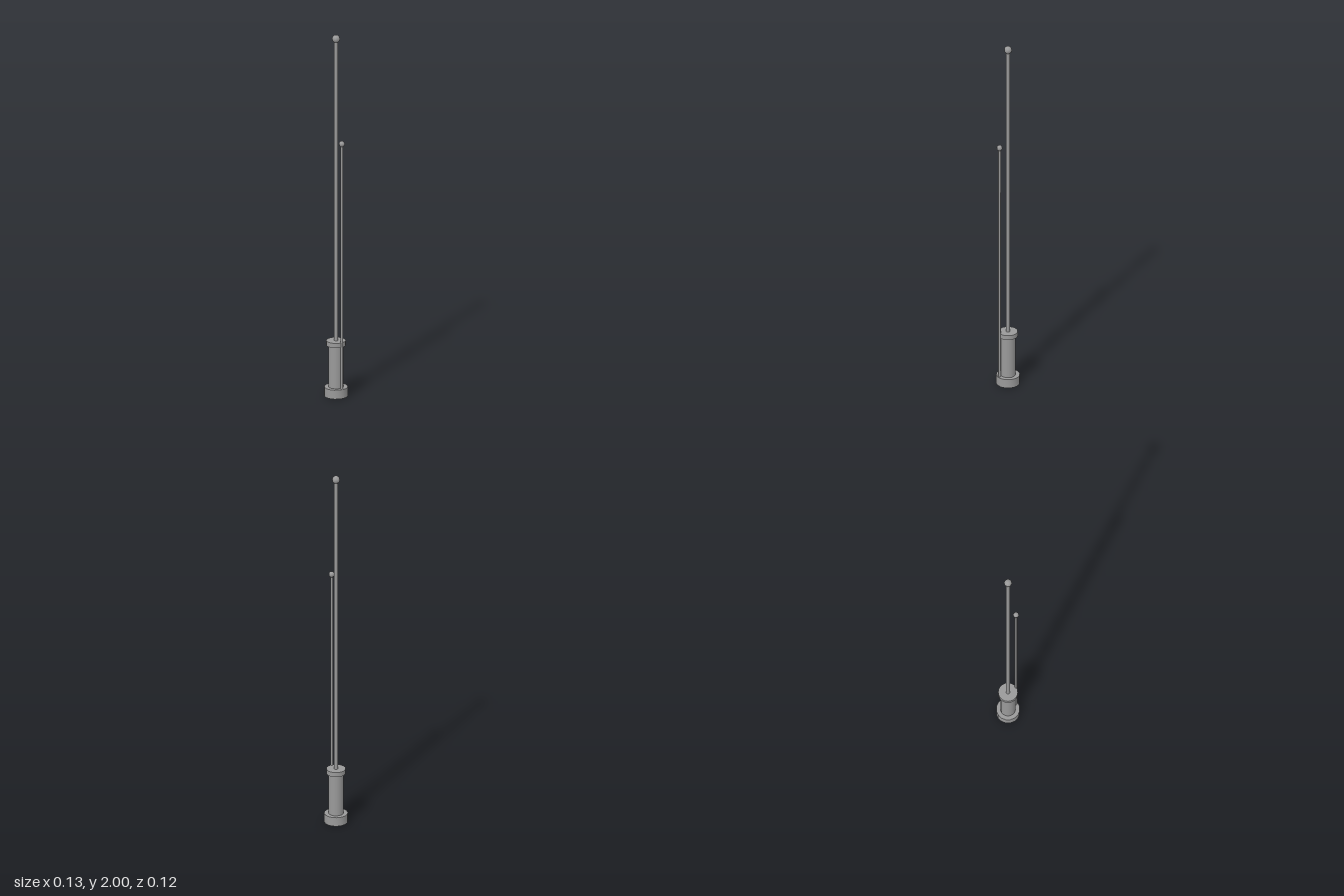
import * as THREE from 'three';
import { toCreasedNormals } from 'three/addons/utils/BufferGeometryUtils.js';

const material = new THREE.MeshStandardMaterial({ color: 0x9a9a9a });
const AXIS = -0.0025; // x of the main mast
const SIDE = 0.0485; // x of the secondary mast

export function createModel() {
  const model = new THREE.Group();
  model.name = 'twinAntenna';

  const add = (name, geometry, x, y) => {
    const mesh = new THREE.Mesh(geometry, material);
    mesh.name = name;
    mesh.position.set(x, y, 0);
    model.add(mesh);
  };

  const cylinder = (name, radius, bottom, top, sides, x) =>
    add(name, new THREE.CylinderGeometry(radius, radius, top - bottom, sides), x, (bottom + top) / 2);

  // Foot ring with a recess underneath
  const footProfile = [
    [0, 0.025], [0.042, 0.025], [0.042, 0], [0.0625, 0], [0.0625, 0.05], [0, 0.05],
  ].map(([r, y]) => new THREE.Vector2(r, y));
  add('foot', toCreasedNormals(new THREE.LatheGeometry(footProfile, 16), 0.6), AXIS, 0);

  // Housing and its cap
  cylinder('housing', 0.04, 0.045, 0.285, 16, AXIS);
  cylinder('collar', 0.0515, 0.28, 0.306, 20, AXIS);

  // Two masts, each with a ball tip
  const mast = (name, x, radius, bottom, ballY, ballRadius) => {
    cylinder(name, radius, bottom, ballY, 8, x);
    add(name + 'Tip', new THREE.SphereGeometry(ballRadius, 8, 6), x, ballY);
  };
  mast('mainMast', AXIS, 0.0112, 0.3, 1.9785, 0.0215);
  mast('sideMast', SIDE, 0.0072, 0.045, 1.409, 0.016);

  return model;
}
